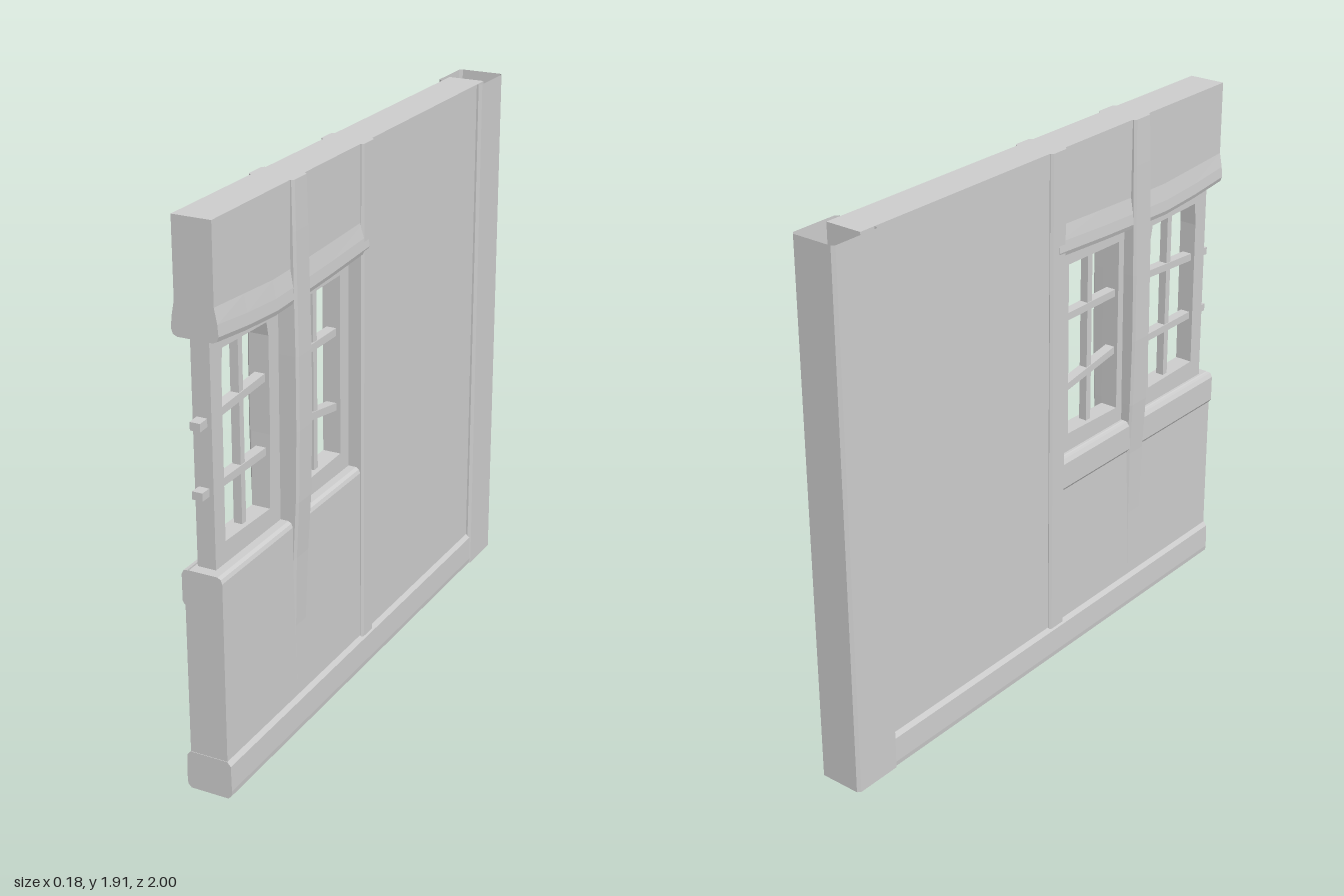
import * as THREE from 'three';

const CX = -0.003; // mid-plane of the wall

// Closed solid through equal-length rings of [x, y, z] points, faces turned outward
function loft(rings) {
  const tris = [], n = rings[0].length;
  for (let i = 0; i + 1 < rings.length; i++)
    for (let j = 0; j < n; j++) {
      const k = (j + 1) % n, A = rings[i], B = rings[i + 1];
      tris.push([A[j], A[k], B[k]], [A[j], B[k], B[j]]);
    }
  const last = rings[rings.length - 1];
  for (let j = 1; j + 1 < n; j++)
    tris.push([rings[0][0], rings[0][j + 1], rings[0][j]], [last[0], last[j], last[j + 1]]);
  const v = (p) => new THREE.Vector3(...p);
  let volume = 0;
  for (const [a, b, c] of tris) volume += v(a).dot(v(b).cross(v(c)));
  if (volume < 0) tris.forEach((t) => t.reverse());
  const g = new THREE.BufferGeometry();
  g.setAttribute('position', new THREE.Float32BufferAttribute(tris.flat(2), 3));
  g.computeVertexNormals();
  return g;
}

// Upright beam: each section is [y, half width in x, zMin, zMax], with chamfered corners
function upright(sections, c = 0.008) {
  return loft(sections.map(([y, w, a, b]) => [
    [w, a + c], [w, b - c], [w - c, b], [c - w, b],
    [-w, b - c], [-w, a + c], [c - w, a], [w - c, a],
  ].map(([x, z]) => [CX + x, y, z])));
}

// Plate in the z-y plane, extruded through x
function plate(outline, hole, x0, x1) {
  const pts = (list) => list.map(([z, y]) => new THREE.Vector2(-z, y));
  const shape = new THREE.Shape(pts(outline));
  if (hole) shape.holes.push(new THREE.Path(pts(hole)));
  const g = new THREE.ExtrudeGeometry(shape, { depth: x1 - x0, bevelEnabled: false });
  return g.rotateY(Math.PI / 2).translate(x0, 0, 0);
}

export function createModel() {
  const model = new THREE.Group();
  const plaster = new THREE.MeshStandardMaterial({ color: 0xcccccc });
  plaster.name = 'plain grey';
  const openGrey = new THREE.MeshStandardMaterial({ color: 0xcccccc, side: THREE.DoubleSide });
  openGrey.name = 'plain grey open';
  const add = (name, geometry, material = plaster) => {
    const mesh = new THREE.Mesh(geometry, material);
    mesh.name = name;
    model.add(mesh);
  };
  const box = (name, x0, x1, y0, y1, z0, z1) => add(name,
    new THREE.BoxGeometry(x1 - x0, y1 - y0, z1 - z0)
      .translate((x0 + x1) / 2, (y0 + y1) / 2, (z0 + z1) / 2));

  // Solid wall behind the windows
  box('wallPanel', -0.07, 0.064, 0.01, 1.91, -0.87, 0.05);

  // Low wall under the windows, rounded along the top edge
  const low = [[-0.07, 0.01], [0.064, 0.01], [0.064, 0.762], [0.059, 0.775],
    [0.048, 0.782], [-0.054, 0.782], [-0.065, 0.775], [-0.07, 0.762]];
  add('lowerWall', loft([0.05, 0.998].map((z) => low.map(([x, y]) => [x, y, z]))));

  // Window ledge strip on one face only
  const ledge = [[-0.06, 0.66], [-0.072, 0.66], [-0.08, 0.672], [-0.08, 0.765],
    [-0.072, 0.78], [-0.06, 0.782]];
  add('windowLedge', loft([0.05, 0.998].map((z) => ledge.map(([x, y]) => [x, y, z]))));

  // Upper wall with a sagging, swollen header along its lower edge
  const header = [
    [1, 1.54, 1.65], [0.83, 1.522, 1.64], [0.66, 1.511, 1.63], [0.5, 1.516, 1.633],
    [0.3, 1.524, 1.64], [0.05, 1.538, 1.65],
  ];
  add('header', loft(header.map(([z, b, t]) => [
    [0.06, b], [0.074, b + 0.006], [0.08, b + 0.022], [0.077, b + 0.06], [0.067, t],
    [0.067, 1.91], [-0.067, 1.91], [-0.067, t], [-0.077, b + 0.06],
    [-0.08, b + 0.022], [-0.074, b + 0.006], [-0.06, b],
  ].map(([x, y]) => [CX + x, y, z]))));

  // Ground sill with softened edges
  const sill = [[-0.068, 0], [0.068, 0], [0.08, 0.012], [0.082, 0.03], [0.08, 0.12],
    [0.068, 0.135], [-0.068, 0.135], [-0.08, 0.12], [-0.082, 0.03], [-0.08, 0.012]];
  add('groundSill', loft([-0.92, 1].map((z) => sill.map(([x, y]) => [CX + x, y, z]))));

  // Straight stud beside the windows
  add('straightStud', upright([[0.13, 0.078, 0.01, 0.09], [1.91, 0.078, 0.01, 0.09]]));

  // Crooked stud between the windows, swelling at mid height and fading into the wall
  add('crookedStud', upright([
    [0.13, 0.067, 0.483, 0.545], [0.4, 0.069, 0.476, 0.558], [0.65, 0.076, 0.468, 0.56],
    [0.85, 0.087, 0.464, 0.56], [1.1, 0.092, 0.462, 0.559], [1.35, 0.091, 0.46, 0.557],
    [1.55, 0.087, 0.459, 0.555], [1.75, 0.083, 0.459, 0.552], [1.91, 0.079, 0.459, 0.549],
  ]));

  // Hollow corner post, open at top and bottom
  const r = 0.01, w = 0.084;
  const post = new THREE.Shape();
  post.moveTo(-w + r, 0.81).lineTo(w - r, 0.81).lineTo(w, 0.81 + r).lineTo(w, 1 - r)
    .lineTo(w - r, 1).lineTo(-w + r, 1).lineTo(-w, 1 - r).lineTo(-w, 0.81 + r).closePath();
  const ring = post.getPoints().slice(0, 8);
  const tris = [];
  ring.forEach((a, i) => {
    const b = ring[(i + 1) % 8];
    const at = (p, y) => [CX + p.x, y, -p.y];
    tris.push(at(a, 0.01), at(b, 0.01), at(b, 1.91), at(a, 0.01), at(b, 1.91), at(a, 1.91));
  });
  const shell = new THREE.BufferGeometry();
  shell.setAttribute('position', new THREE.Float32BufferAttribute(tris.flat(), 3));
  shell.computeVertexNormals();
  add('cornerPost', shell, openGrey);

  // Window frames
  const x0 = -0.045, x1 = 0.02;
  add('frontWindowFrame', plate(
    [[0.96, 0.775], [0.55, 0.775], [0.55, 1.53], [0.96, 1.54]],
    [[0.9, 0.855], [0.627, 0.848], [0.618, 1.1], [0.618, 1.43], [0.628, 1.477], [0.89, 1.483], [0.897, 1.4]],
    x0, x1));
  add('rearWindowFrame', plate(
    [[0.5, 0.775], [0.08, 0.775], [0.08, 1.545], [0.5, 1.53]],
    [[0.432, 0.842], [0.15, 0.85], [0.148, 1.482], [0.43, 1.477]], x0, x1));

  // Glazing bars: [z, y] at both ends of each horizontal, slightly crooked
  const h = 0.0135;
  for (const [za, ya, zb, yb] of [
    [1, 1.265, 0.6, 1.29], [1, 1.04, 0.6, 1.04],
    [0.45, 1.283, 0.13, 1.283], [0.45, 1.067, 0.13, 1.014],
  ]) add('crossBar', plate([[za, ya - h], [zb, yb - h], [zb, yb + h], [za, ya + h]], null, -0.031, 0.005));
  box('frontMullion', -0.028, 0.002, 0.82, 1.5, 0.745, 0.77);
  box('rearMullion', -0.028, 0.002, 0.82, 1.5, 0.276, 0.301);

  return model;
}
